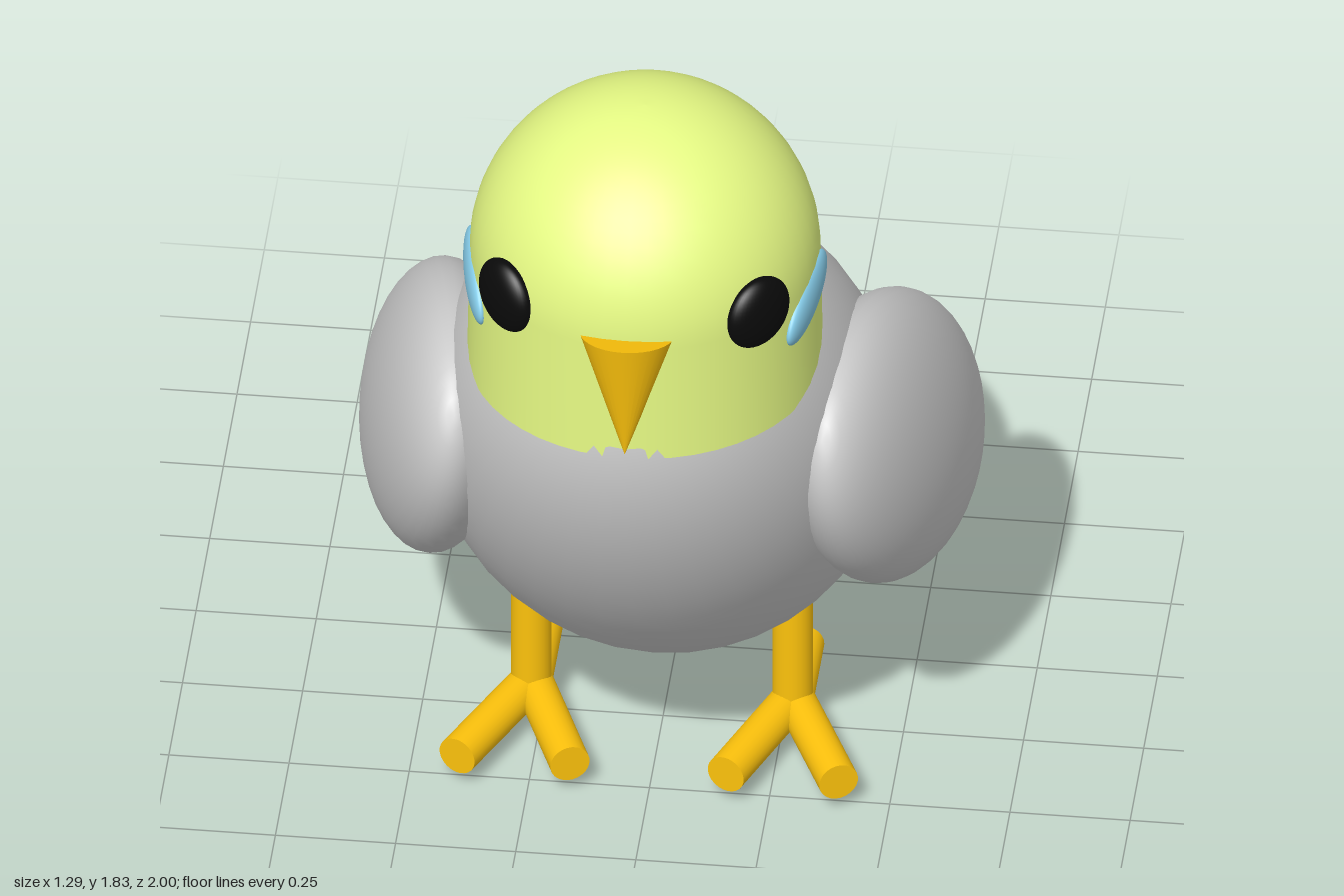
import * as THREE from 'three';

const mat = (color) => new THREE.MeshStandardMaterial({ color });
const V = (p) => new THREE.Vector3(...p);

export function createModel() {
  const bird = new THREE.Group();
  const grey = mat(0xcccccc);
  const lime = mat(0xe6fa84);
  const gold = mat(0xfcc20c);
  const black = mat(0x0a0a0a);
  const blue = mat(0x87ceeb);

  const add = (name, geometry, material) => {
    const mesh = new THREE.Mesh(geometry, material);
    mesh.name = name;
    bird.add(mesh);
    return mesh;
  };

  // Ellipsoid from its centre, long half axis, approximate side direction and half sizes
  const ellipsoid = (name, material, centre, long, side, width, thickness) => {
    const a = V(long);
    const length = a.length();
    a.normalize();
    const b = V(side);
    b.addScaledVector(a, -b.dot(a)).normalize();
    const c = b.clone().cross(a);
    const geometry = new THREE.SphereGeometry(1, 40, 28);
    geometry.scale(width, length, thickness);
    geometry.applyMatrix4(new THREE.Matrix4().makeBasis(b, a, c));
    geometry.translate(...centre);
    return add(name, geometry, material);
  };

  // Cylinder between two points
  const rod = (name, from, to, radius) => {
    const d = V(to).sub(V(from));
    const mesh = add(name, new THREE.CylinderGeometry(radius, radius, d.length(), 24), gold);
    mesh.quaternion.setFromUnitVectors(new THREE.Vector3(0, 1, 0), d.clone().normalize());
    mesh.position.copy(V(from)).addScaledVector(d, 0.5);
  };

  // Leaning egg-shaped body
  ellipsoid('body', grey, [0, 0.8, 0.27], [0, 0.618, 0.586], [1, 0, 0], 0.487, 0.477);

  // Domed head with a straight neck
  const profile = [new THREE.Vector2(0.368, 1.195)];
  for (let i = 0; i <= 20; i++) {
    const t = (i / 20) * Math.PI / 2;
    profile.push(new THREE.Vector2(0.363 * Math.cos(t), 1.472 + 0.363 * Math.sin(t)));
  }
  const head = add('head', new THREE.LatheGeometry(profile, 48), lime);
  head.position.z = 0.58;

  // Downward pointing beak
  const beak = add('beak', new THREE.ConeGeometry(0.1, 0.28, 32), gold);
  beak.position.set(0, 1.348, 0.928);
  beak.rotation.x = Math.PI - 0.2;

  // Tail feathers on the centre line
  ellipsoid('tailFeatherLong', grey, [0, 0.21, -0.68], [0, -0.17, -0.32], [1, 0, 0], 0.255, 0.08);
  ellipsoid('tailFeatherLower', grey, [0, 0.22, -0.465], [0, -0.2, -0.3], [1, 0, 0], 0.24, 0.08);

  // Mirrored parts
  for (const [s, label] of [[1, 'left'], [-1, 'right']]) {
    ellipsoid(label + 'Wing', grey, [s * 0.467, 0.79, 0.27],
      [s * -0.085, 0.304, 0.436], [0, 0.253, -0.176], 0.308, 0.158);
    ellipsoid(label + 'TailFeather', grey, [s * 0.215, 0.37, -0.497],
      [s * 0.1, -0.08, -0.3], [s * 0.22, -0.06, 0.09], 0.237, 0.1);
    ellipsoid(label + 'Eye', black, [s * 0.262, 1.502, 0.822],
      [0, 0.082, 0], [s * 0.68, 0, -0.73], 0.08, 0.037);
    ellipsoid(label + 'Cheek', blue, [s * 0.343, 1.42, 0.652],
      [s * -0.024, -0.035, 0.113], [0, 1, 0.3], 0.06, 0.025);

    // Leg, two spread front toes and one back toe
    const x = s * 0.272;
    rod(label + 'Leg', [x, 0.07, 0.27], [x, 0.42, 0.27], 0.042);
    rod(label + 'OuterToe', [x, 0.08, 0.25], [x + s * 0.125, 0.08, 0.53], 0.042);
    rod(label + 'InnerToe', [x, 0.08, 0.25], [x - s * 0.11, 0.08, 0.53], 0.042);
    rod(label + 'BackToe', [x, 0.08, 0.28], [x, 0.08, 0.06], 0.042);
  }
  return bird;
}
